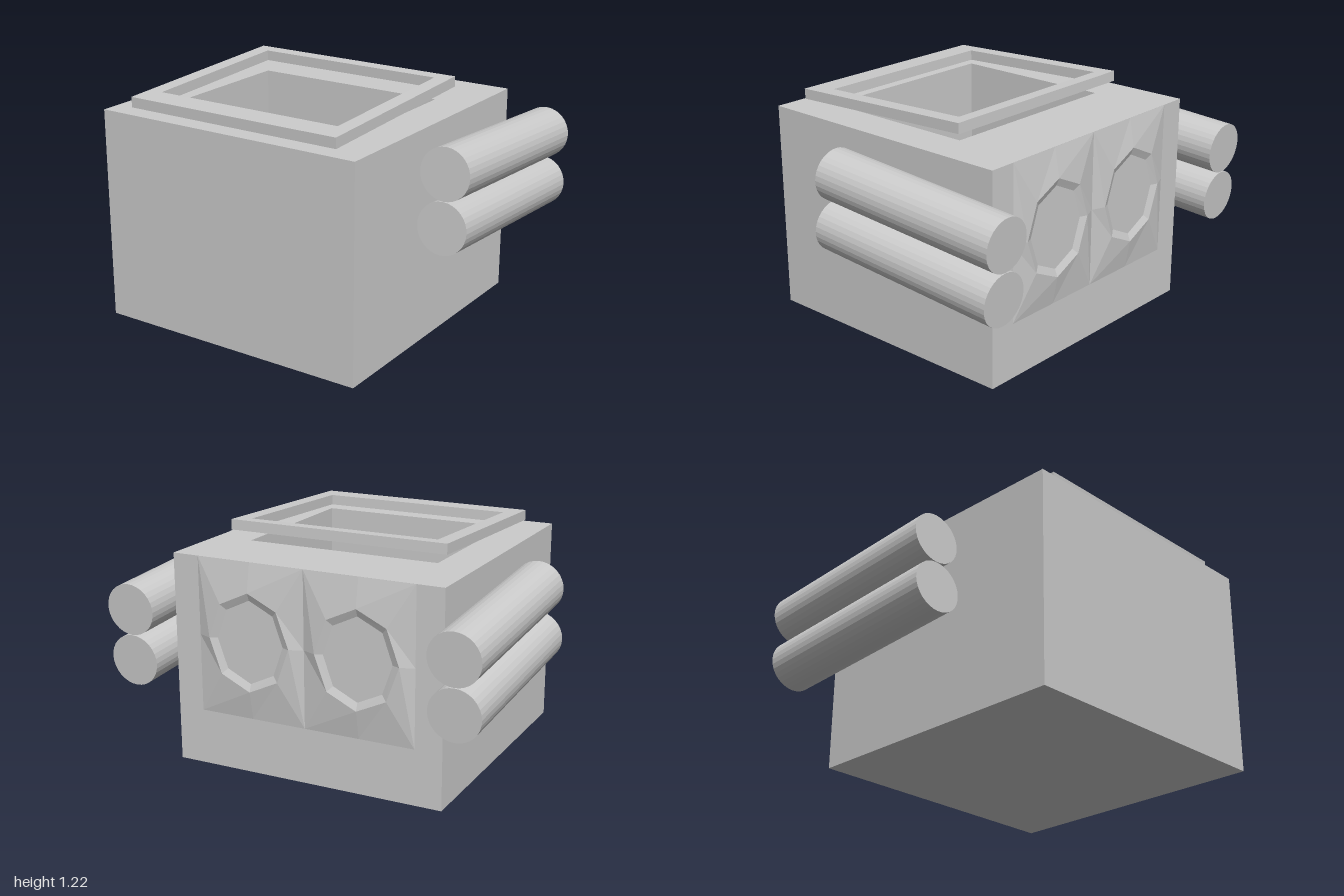
import * as THREE from 'three';

const material = new THREE.MeshStandardMaterial({ color: 0xcccccc, flatShading: true });

function addMesh(parent, name, geometry) {
  const mesh = new THREE.Mesh(geometry, material);
  mesh.name = name;
  parent.add(mesh);
  return mesh;
}

// Rectangular tube standing on y = 0; each rectangle is [x0, x1, z0, z1]
function rectTube(outer, inner, height) {
  const corners = ([x0, x1, z0, z1]) => [[x0, -z1], [x1, -z1], [x1, -z0], [x0, -z0]]
    .map(([x, y]) => new THREE.Vector2(x, y));
  const shape = new THREE.Shape(corners(outer));
  shape.holes.push(new THREE.Path(corners(inner).reverse()));
  return new THREE.ExtrudeGeometry(shape, { depth: height, bevelEnabled: false })
    .rotateX(-Math.PI / 2);
}

// Raised rectangular plate rising to an octagonal rim around a shallow recess, facing -z
function octagonPanel(halfW, halfH) {
  const rings = [
    { rx: halfW, ry: halfH, z: 0, square: true },
    { rx: 0.225, ry: 0.255, z: -0.028 },
    { rx: 0.185, ry: 0.215, z: -0.012 },
    { rx: 0, ry: 0, z: -0.012 },
  ];
  const positions = [];
  const index = [];
  for (const { rx, ry, z, square } of rings) {
    for (let k = 0; k < 8; k++) {
      let c = Math.cos(k * Math.PI / 4), s = Math.sin(k * Math.PI / 4);
      if (square) { c = Math.sign(Math.round(c * 10)); s = Math.sign(Math.round(s * 10)); }
      positions.push(c * rx, s * ry, z);
    }
  }
  for (let r = 0; r < rings.length - 1; r++) {
    for (let k = 0; k < 8; k++) {
      const a = r * 8 + k, b = r * 8 + (k + 1) % 8;
      index.push(a, a + 8, b);
      if (r < rings.length - 2) index.push(b, a + 8, b + 8);
    }
  }
  const geometry = new THREE.BufferGeometry();
  geometry.setAttribute('position', new THREE.Float32BufferAttribute(positions, 3));
  geometry.setIndex(index);
  const flat = geometry.toNonIndexed();
  flat.computeVertexNormals();
  return flat;
}

export function createModel() {
  const model = new THREE.Group();
  model.name = 'model';

  // Hollow body: walls around a rectangular cavity, on a solid base
  const body = new THREE.Group();
  body.name = 'body';
  model.add(body);
  const floor = 0.2;
  addMesh(body, 'walls', rectTube([-0.735, 0.735, -0.63, 0.84], [-0.525, 0.525, -0.235, 0.655], 1.1 - floor))
    .position.y = floor;
  addMesh(body, 'base', new THREE.BoxGeometry(1.47, floor, 1.47)).position.set(0, floor / 2, 0.105);

  // Slightly tilted frame floating over the opening
  const frame = addMesh(model, 'topFrame',
    rectTube([-0.6, 0.6, -0.543, 0.543], [-0.52, 0.52, -0.472, 0.408], 0.054));
  frame.position.set(0, 1.141, 0.242);
  frame.rotation.x = 0.0415;

  for (const side of [1, -1]) {
    const sideName = side > 0 ? 'left' : 'right';

    // Pair of stacked tubes, lower towards the back
    const tubes = new THREE.Group();
    tubes.name = sideName + 'Tubes';
    tubes.position.set(side * 0.867, 0.738, -0.275);
    tubes.rotation.x = -0.06;
    model.add(tubes);
    for (const [name, y] of [['upperTube', 0.134], ['lowerTube', -0.134]]) {
      addMesh(tubes, name, new THREE.CylinderGeometry(0.133, 0.133, 1.1, 32).rotateX(Math.PI / 2))
        .position.y = y;
    }

    // Octagonal relief on the back
    addMesh(model, sideName + 'BackPanel', octagonPanel(0.296, 0.405))
      .position.set(side * 0.296, 0.695, -0.631);
  }
  return model;
}
